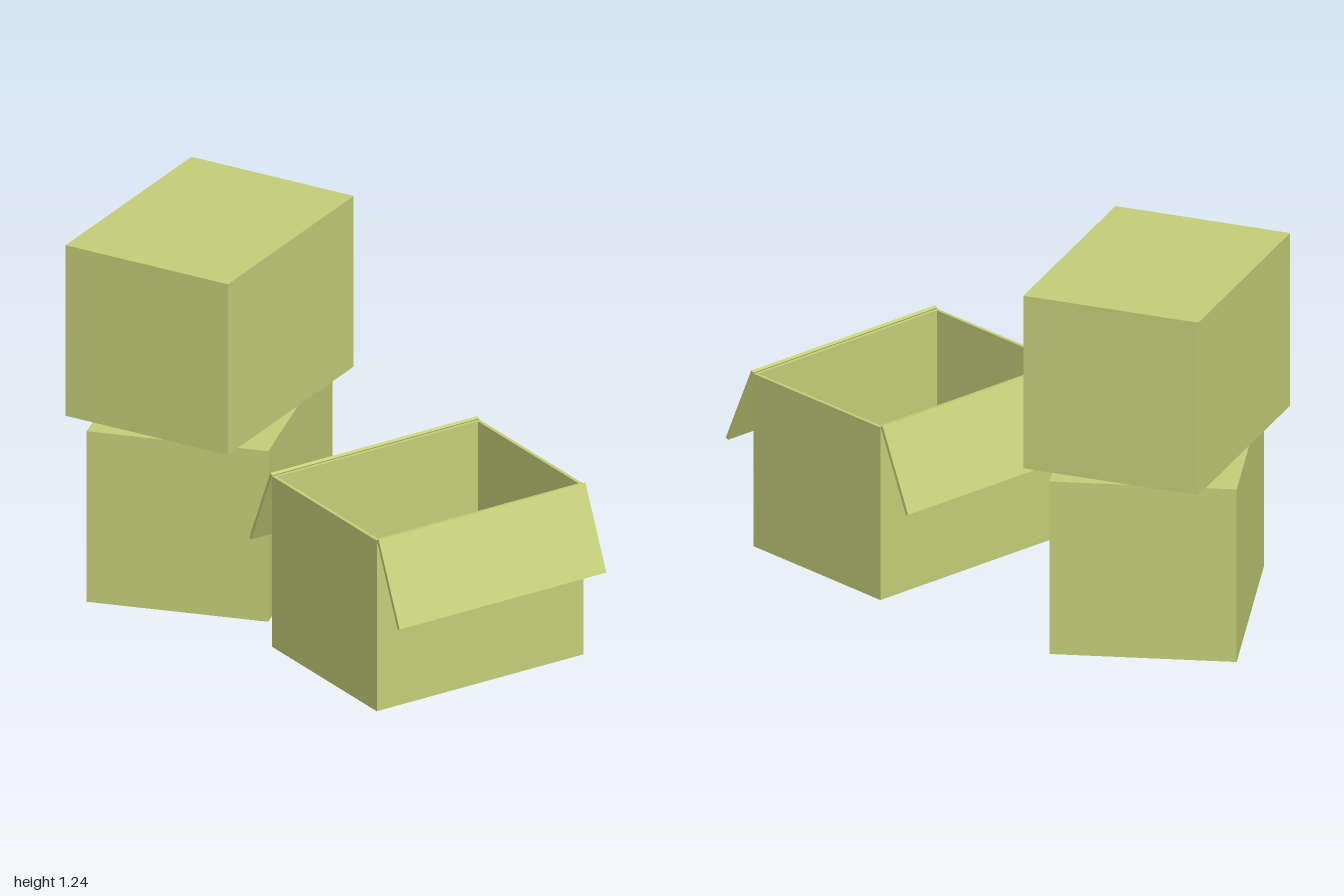
import * as THREE from 'three';

const W = 0.82, H = 0.617, D = 0.62; // carton size
const T = 0.012;                     // board thickness
const FLAP = 0.305, FLAP_ANGLE = 0.42;

export function createModel() {
  const model = new THREE.Group();
  model.name = 'cartonStack';
  const card = new THREE.MeshStandardMaterial({ color: 0xc4cf78, flatShading: true });

  const add = (parent, name, geometry) => {
    const mesh = new THREE.Mesh(geometry, card);
    mesh.name = name;
    parent.add(mesh);
    return mesh;
  };

  // Two closed cartons, stacked at different angles
  const closed = [
    ['lowerClosedBox', 0, 0.515],
    ['upperClosedBox', 0.619, 0.246],
  ];
  for (const [name, y, yaw] of closed) {
    const box = add(model, name, new THREE.BoxGeometry(W, H, D));
    box.position.set(0, y + H / 2, -0.53);
    box.rotation.y = yaw;
  }

  // Open carton
  const open = new THREE.Group();
  open.name = 'openBox';
  open.position.set(0, 0, 0.478);
  open.rotation.y = -0.205;
  model.add(open);

  // Four walls as one hollow rectangle
  const rect = (target, w, d) => target
    .moveTo(-w / 2, -d / 2).lineTo(w / 2, -d / 2)
    .lineTo(w / 2, d / 2).lineTo(-w / 2, d / 2).closePath();
  const outline = rect(new THREE.Shape(), W, D);
  outline.holes.push(rect(new THREE.Path(), W - 2 * T, D - 2 * T));
  const walls = new THREE.ExtrudeGeometry(outline, { depth: H, bevelEnabled: false });
  walls.rotateX(-Math.PI / 2);
  add(open, 'walls', walls);

  // Floor
  add(open, 'floor', new THREE.BoxGeometry(W - 2 * T, T, D - 2 * T)).position.y = T / 2;

  // Flaps folded outwards over the two long walls
  for (const [name, turn] of [['frontFlap', 0], ['backFlap', Math.PI]]) {
    const side = new THREE.Group();
    side.name = name + 'Hinge';
    side.rotation.y = turn;
    open.add(side);
    const flap = add(side, name, new THREE.BoxGeometry(W, FLAP, T).translate(0, -FLAP / 2, T / 2));
    flap.position.set(0, H + 0.003, D / 2);
    flap.rotation.x = -FLAP_ANGLE;
  }

  return model;
}
